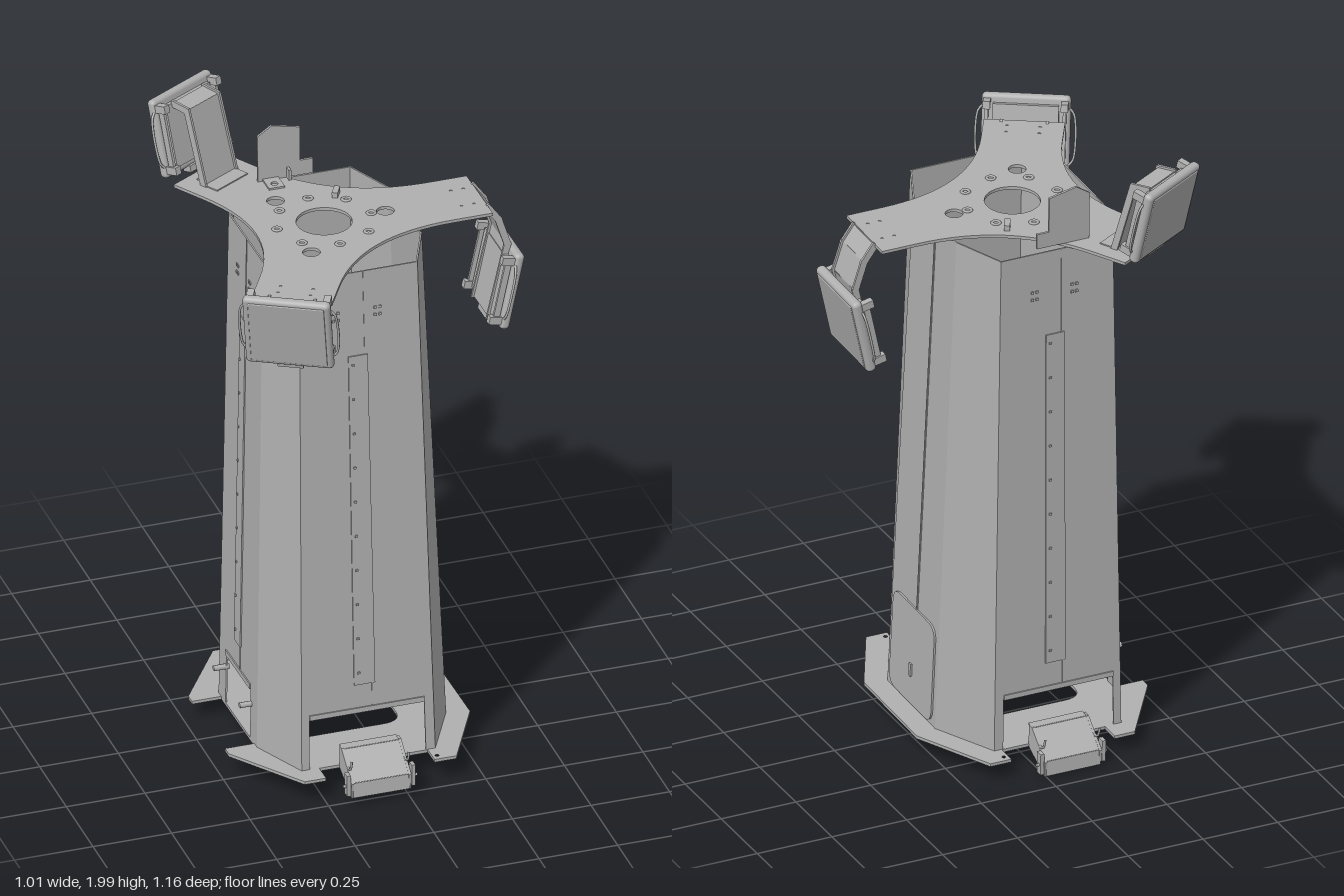
import * as THREE from 'three';
import { RoundedBoxGeometry } from 'three/addons/geometries/RoundedBoxGeometry.js';

const steel = new THREE.MeshStandardMaterial({ color: 0xb0b0b0 });
steel.name = 'steel grey';

const HUB_X = -0.095, TOP_Y = 1.735, BASE_Y = 0.08;

function add(parent, name, geo, x = 0, y = 0, z = 0) {
  const m = new THREE.Mesh(geo, steel);
  m.name = name;
  m.position.set(x, y, z);
  parent.add(m);
  return m;
}
const box = (x, y, z) => new THREE.BoxGeometry(x, y, z);
const poly = pts => new THREE.Shape(pts.map(p => new THREE.Vector2(p[0], p[1])));
const extrude = (shape, depth) =>
  new THREE.ExtrudeGeometry(shape, { depth, bevelEnabled: false, curveSegments: 16 });
function circleHole(shape, x, y, r) {
  shape.holes.push(new THREE.Path().absarc(x, y, r, 0, Math.PI * 2, true));
}
function roundRect(s, x0, y0, x1, y1, rx, ry) {
  s.moveTo(x0 + rx, y0).lineTo(x1 - rx, y0).quadraticCurveTo(x1, y0, x1, y0 + ry);
  s.lineTo(x1, y1 - ry).quadraticCurveTo(x1, y1, x1 - rx, y1);
  s.lineTo(x0 + rx, y1).quadraticCurveTo(x0, y1, x0, y1 - ry);
  s.lineTo(x0, y0 + ry).quadraticCurveTo(x0, y0, x0 + rx, y0);
  return s;
}
// Bent sheet: one slab per segment of a polyline in the xy plane
function bentSheet(parent, name, pts, width, t) {
  for (let i = 1; i < pts.length; i++) {
    const [ax, ay] = pts[i - 1], [bx, by] = pts[i];
    const m = add(parent, name, box(Math.hypot(bx - ax, by - ay) + t * 0.6, t, width), (ax + bx) / 2, (ay + by) / 2);
    m.rotation.z = Math.atan2(by - ay, bx - ax);
  }
}

// Tower corners (x, z), counter-clockwise from the front wall
const LOW = [[-0.305, 0.365], [0.12, 0.365], [0.222, 0.165], [0.222, -0.165],
  [0.12, -0.365], [-0.305, -0.365], [-0.385, -0.18], [-0.385, 0.18]];
const HIGH = [[-0.28, 0.315], [0.095, 0.315], [0.165, 0.15], [0.165, -0.15],
  [0.095, -0.315], [-0.28, -0.315], [-0.345, -0.16], [-0.345, 0.16]];

// Lays a geometry drawn in (u, v, outward) onto tower wall i
function onWall(geo, i) {
  const j = (i + 1) % 8, p = geo.attributes.position;
  const corner = (c, y) => new THREE.Vector3(c[0], y, c[1]);
  const a = corner(LOW[i], BASE_Y), b = corner(LOW[j], BASE_Y);
  const c = corner(HIGH[i], TOP_Y), d = corner(HIGH[j], TOP_Y);
  const n = b.clone().sub(a).cross(c.clone().sub(a)).normalize();
  for (let k = 0; k < p.count; k++) {
    const u = p.getX(k), v = p.getY(k), w = p.getZ(k);
    const q = a.clone().lerp(b, u).lerp(c.clone().lerp(d, u), v).addScaledVector(n, w);
    p.setXYZ(k, q.x, q.y, q.z);
  }
  geo.computeVertexNormals();
  return geo;
}
const wallBox = (i, u0, u1, v0, v1, w0, w1) =>
  onWall(box(u1 - u0, v1 - v0, w1 - w0).translate((u0 + u1) / 2, (v0 + v1) / 2, (w0 + w1) / 2), i);

function buildTower(g) {
  const openings = { 0: [0.06, 0.93], 4: [0.07, 0.94], 6: [0.18, 0.82] };
  for (let i = 0; i < 8; i++) {
    const o = openings[i];
    const parts = o ? [[0, 1, 0.1, 1], [0, o[0], 0, 0.1], [o[1], 1, 0, 0.1]] : [[0, 1, 0, 1]];
    parts.forEach(q => add(g, 'towerWall', wallBox(i, ...q, -0.005, 0)));
    if (!o) continue;
    // lip over the opening, cover strip, bolts
    add(g, 'openingLip', wallBox(i, o[0], o[1], 0.1, 0.11, 0, 0.004));
    add(g, 'coverStrip', wallBox(i, 0.4, 0.56, 0.157, 0.83, 0, 0.004));
    add(g, 'wallSeam', wallBox(i, 0.535, 0.545, 0.11, 1, 0, 0.002));
    for (let k = 0; k < 10; k++)
      add(g, 'stripBolt', wallBox(i, 0.425, 0.445, 0.18 + k * 0.07, 0.184 + k * 0.07, 0.004, 0.008));
    for (const u of [0.27, 0.31, 0.62, 0.66]) for (const v of [0.905, 0.92])
      add(g, 'wallBolt', wallBox(i, u, u + 0.022, v, v + 0.005, 0, 0.004));
  }
  // access door and seam on the left wall
  const door = roundRect(new THREE.Shape(), 0.06, 0.004, 0.94, 0.2, 0.14, 0.028);
  add(g, 'accessDoor', onWall(extrude(door, 0.006), 2));
  add(g, 'doorLatch', wallBox(2, 0.48, 0.52, 0.06, 0.085, 0.006, 0.012));
  add(g, 'wallSeam', wallBox(2, 0.525, 0.545, 0.2, 0.98, 0, 0.003));
}

function buildBase(g) {
  const half = [[-0.385, 0.155], [-0.478, 0.155], [-0.478, 0.19], [-0.318, 0.432], [-0.25, 0.432],
    [-0.25, 0.367], [0.095, 0.367], [0.095, 0.432], [0.165, 0.432], [0.292, 0.183]];
  const s = poly([...half, ...half.map(([x, z]) => [x, -z]).reverse()]);
  s.holes.push(roundRect(new THREE.Path(), -0.27, -0.17, 0.08, 0.17, 0.06, 0.06));
  for (const z of [-0.41, 0.41]) circleHole(s, 0.11, z, 0.006);
  add(g, 'basePlate', extrude(s, 0.01).rotateX(-Math.PI / 2), 0, BASE_Y - 0.01, 0);

  // folding steps at front and back, +x pointing outward
  for (const side of [-1, 1]) {
    const step = new THREE.Group();
    step.name = 'step';
    step.position.set(-0.09, 0, side * -0.365);
    step.rotation.y = side * Math.PI / 2;
    g.add(step);
    bentSheet(step, 'stepTread', [[-0.01, 0.14], [0.02, 0.14], [0.108, 0.07], [0.112, 0.025]], 0.18, 0.007);
    bentSheet(step, 'stepUnderside', [[0, 0.08], [0.09, 0.025], [0.112, 0.025]], 0.16, 0.006);
    for (const z of [-0.095, 0.087]) {
      add(step, 'stepCheek', extrude(poly([[0, 0.07], [0.11, 0.02], [0.115, 0.07], [0.02, 0.145], [0, 0.145]]), 0.008), 0, 0, z);
      const hook = new THREE.QuadraticBezierCurve3(new THREE.Vector3(0.07, 0.105, 0),
        new THREE.Vector3(0.1, 0.1, 0), new THREE.Vector3(0.105, 0.145, 0));
      add(step, 'stepHook', new THREE.TubeGeometry(hook, 8, 0.004, 6), 0, 0, z + 0.004);
    }
    add(step, 'stepPin', new THREE.CylinderGeometry(0.005, 0.005, 0.235, 8).rotateX(Math.PI / 2), 0.1, 0.06, 0);
    for (const z of [-0.103, 0.103]) add(step, 'stepTab', box(0.025, 0.07, 0.012), 0.1, 0.065, z);
  }
  // hinge pins beside the right wall opening
  for (const z of [-0.122, 0.122]) {
    const pin = add(g, 'hingePin', new THREE.CylinderGeometry(0.009, 0.009, 0.05, 8), -0.395, 0.2, z);
    pin.rotation.z = Math.PI / 2;
  }
}

function buildTopPlate(g) {
  // three-armed plate with concave sides
  const s = new THREE.Shape(), W = 0.123, R = 0.495, S = 0.375;
  const at = (a, r, w) => [r * Math.cos(a) - w * Math.sin(a), r * Math.sin(a) + w * Math.cos(a)];
  for (let i = 0; i < 3; i++) {
    const a = i * Math.PI * 2 / 3, b = a + Math.PI * 2 / 3;
    if (i === 0) s.moveTo(...at(a, R, -W));
    else s.lineTo(...at(a, R, -W));
    s.lineTo(...at(a, R, W)).lineTo(...at(a, S, W));
    s.quadraticCurveTo(...at(a + Math.PI / 3, W / Math.sin(Math.PI / 3), 0), ...at(b, S, -W));
    circleHole(s, ...at(a, 0.195, 0), 0.027);
    for (const r of [0.42, 0.46]) for (const w of [-0.05, 0.05]) circleHole(s, ...at(a, r, w), 0.005);
  }
  circleHole(s, 0, 0, 0.085);
  add(g, 'topPlate', extrude(s, 0.01).rotateX(-Math.PI / 2), HUB_X, TOP_Y, 0);
  for (let i = 0; i < 8; i++) {
    const a = i * Math.PI / 4;
    const ring = add(g, 'boltRing', new THREE.TorusGeometry(0.012, 0.005, 6, 16).rotateX(Math.PI / 2),
      HUB_X + 0.15 * Math.cos(a), TOP_Y + 0.011, 0.15 * Math.sin(a));
    ring.scale.y = 0.8;
  }
  // upright tab near the back edge, with its foot
  const tab = poly([[-0.205, 0.01], [-0.205, 0.165], [-0.16, 0.195], [-0.07, 0.175], [-0.07, 0.06], [-0.03, 0.06], [-0.03, 0.01]]);
  add(g, 'uprightTab', extrude(tab, 0.008), 0, TOP_Y, -0.305);
  const foot = poly([[-0.19, 0.235], [-0.14, 0.235], [-0.14, 0.3], [-0.19, 0.3]]);
  circleHole(foot, -0.165, 0.26, 0.011);
  add(g, 'tabFoot', extrude(foot, 0.006).rotateX(-Math.PI / 2), 0, TOP_Y + 0.011, 0);
  add(g, 'tabGusset', box(0.008, 0.035, 0.03), -0.11, TOP_Y + 0.027, -0.29);
  const clip = add(g, 'plateClip', box(0.018, 0.02, 0.045), -0.008, TOP_Y + 0.018, -0.145);
  clip.rotation.y = -0.5;
}

// Tilted panel at an arm tip, +x pointing outward
function buildPanel(g, angle, y, link) {
  const arm = new THREE.Group();
  arm.name = 'panelArm';
  arm.position.set(HUB_X, 0, 0);
  arm.rotation.y = angle;
  g.add(arm);
  bentSheet(arm, 'panelBracket', link, 0.14, 0.008);
  for (const z of [-0.07, 0.07]) {
    const pair = new THREE.Group();
    pair.name = 'bracketEdge';
    pair.position.z = z;
    arm.add(pair);
    bentSheet(pair, 'bracketEdge', link.slice(1), 0.008, 0.022);
  }
  const head = new THREE.Group();
  head.name = 'panel';
  head.position.set(0.553, y, 0);
  head.rotation.z = -0.22;
  arm.add(head);
  add(head, 'panelBody', new RoundedBoxGeometry(0.032, 0.255, 0.27, 3, 0.014));
  add(head, 'panelFace', new RoundedBoxGeometry(0.008, 0.225, 0.235, 2, 0.003), 0.015);
  add(head, 'panelBack', box(0.02, 0.2, 0.2), -0.022);
  add(head, 'panelFoot', box(0.03, 0.02, 0.08), -0.01, -0.13, 0);
  for (const z of [-0.118, 0.118]) {
    add(head, 'panelRail', box(0.02, 0.2, 0.01), -0.03, 0, z);
    for (const h of [-0.1, 0.1]) add(head, 'panelLug', box(0.04, 0.025, 0.022), -0.033, h, z);
    const handle = new THREE.CatmullRomCurve3([[0, -0.09], [0.014, -0.07], [0.014, 0.07], [0, 0.09]]
      .map(([d, h]) => new THREE.Vector3(-0.01, h, Math.sign(z) * (0.132 + d))));
    add(head, 'panelHandle', new THREE.TubeGeometry(handle, 16, 0.004, 6));
  }
}

export function createModel() {
  const model = new THREE.Group();
  model.name = 'tower';
  // the whole tower leans slightly backward
  const lean = new THREE.Group();
  lean.name = 'leaningTower';
  lean.rotation.x = -0.027;
  lean.position.z = 0.047;
  model.add(lean);
  buildTower(lean);
  buildBase(lean);
  buildTopPlate(lean);
  const third = Math.PI * 2 / 3, y = TOP_Y + 0.004;
  buildPanel(lean, 0, 1.465, [[0.39, y], [0.495, y], [0.53, 1.69], [0.558, 1.6], [0.5, 1.36]]);
  buildPanel(lean, -third, 1.667, [[0.39, y], [0.485, y], [0.52, 1.7], [0.495, 1.57]]);
  buildPanel(lean, third, 1.882, [[0.37, y + 0.006], [0.42, y + 0.006], [0.485, 1.98], [0.54, 1.985]]);
  return model;
}
